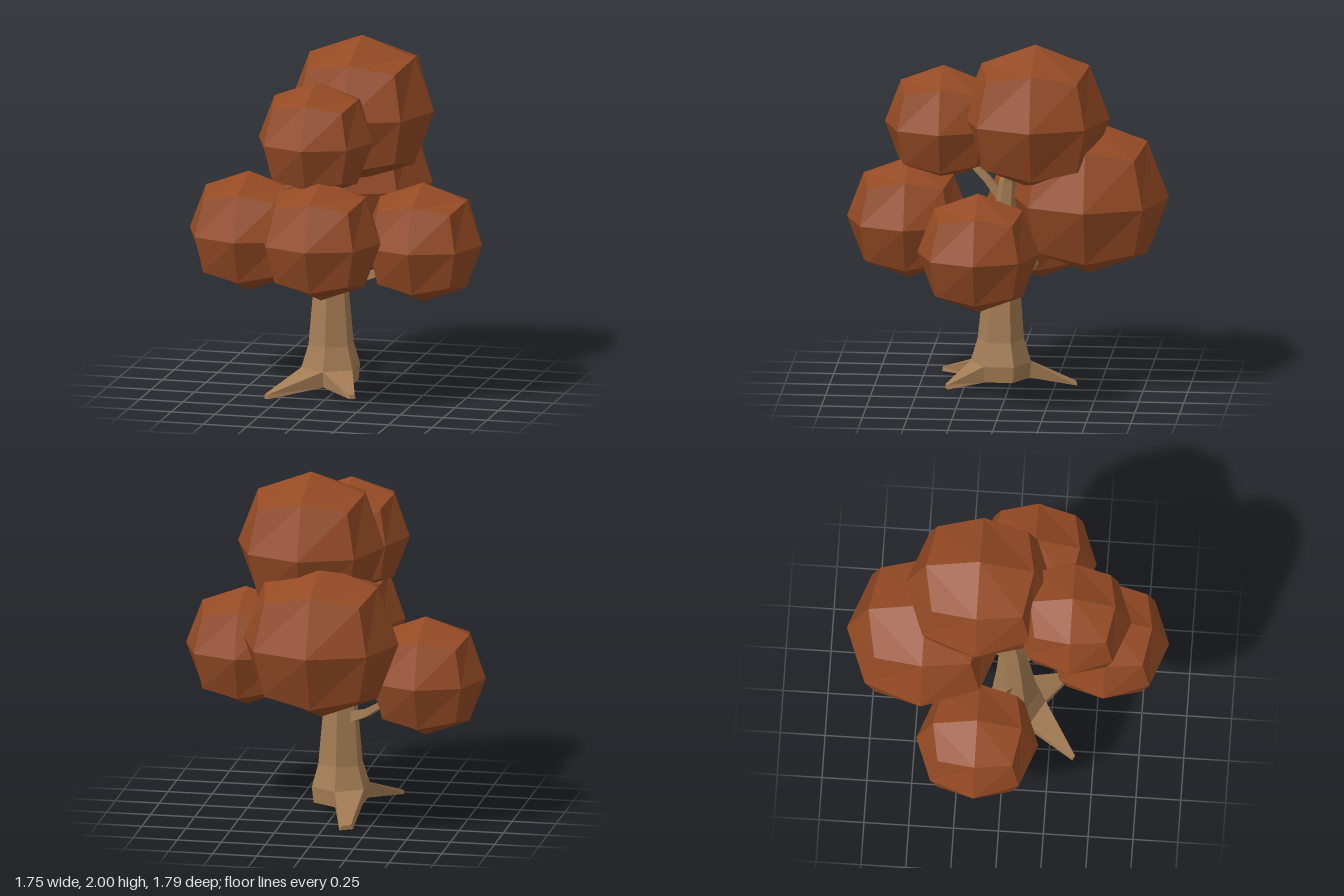
import * as THREE from 'three';

const V = (x, y, z) => new THREE.Vector3(x, y, z);

// Faceted skin over a list of cross-sections, closed at both ends
function loft(rings) {
  const pos = [];
  const tri = (...pts) => pts.forEach((p) => pos.push(p.x, p.y, p.z));
  const n = rings[0].length;
  for (let k = 0; k < rings.length - 1; k++) {
    const a = rings[k], b = rings[k + 1];
    for (let i = 0; i < n; i++) {
      const j = (i + 1) % n;
      tri(a[i], a[j], b[j]);
      tri(a[i], b[j], b[i]);
    }
  }
  const first = rings[0], last = rings[rings.length - 1];
  for (let i = 1; i < n - 1; i++) {
    tri(first[0], first[i + 1], first[i]);
    tri(last[0], last[i], last[i + 1]);
  }
  const geo = new THREE.BufferGeometry();
  geo.setAttribute('position', new THREE.Float32BufferAttribute(pos, 3));
  geo.computeVertexNormals();
  return geo;
}

// Level hexagon with one corner facing the front
function hexRing([x, y, z, r]) {
  return Array.from({ length: 6 }, (_, i) => {
    const a = (i * Math.PI) / 3;
    return V(x + r * Math.sin(a), y, z + r * Math.cos(a));
  });
}

// Tapered square limb along a path of [x, y, z, radius]
function limb(path) {
  const pts = path.map((p) => V(p[0], p[1], p[2]));
  return loft(pts.map((p, k) => {
    const d = pts[Math.min(k + 1, pts.length - 1)].clone().sub(pts[Math.max(k - 1, 0)]).normalize();
    const u = V(0, 1, 0).cross(d).normalize();
    const v = d.clone().cross(u);
    return Array.from({ length: 4 }, (_, i) => {
      const a = Math.PI / 4 + (i * Math.PI) / 2;
      return p.clone().addScaledVector(u, path[k][3] * Math.cos(a)).addScaledVector(v, path[k][3] * Math.sin(a));
    });
  }));
}

// Cube with each side cut in four, puffed out into a faceted ball
function puff(r) {
  const geo = new THREE.BoxGeometry(2, 2, 2, 2, 2, 2).toNonIndexed();
  const p = geo.attributes.position;
  const reach = [0, 1, 0.727, 0.61];
  for (let i = 0; i < p.count; i++) {
    const c = [p.getX(i), p.getY(i), p.getZ(i)].map(Math.round);
    const s = r * reach[c.filter((t) => t !== 0).length];
    p.setXYZ(i, c[0] * s, c[1] * s, c[2] * s);
  }
  geo.computeVertexNormals();
  return geo;
}

export function createModel() {
  const tree = new THREE.Group();
  tree.name = 'tree';
  const bark = new THREE.MeshStandardMaterial({ color: 0xa37c54 });
  bark.name = 'bark';
  const leaves = new THREE.MeshStandardMaterial({ color: 0x944a24 });
  leaves.name = 'russetLeaves';
  const add = (name, geo, mat) => {
    const mesh = new THREE.Mesh(geo, mat);
    mesh.name = name;
    tree.add(mesh);
    return mesh;
  };

  // Trunk: flared foot, bending back towards the crown
  const rings = [
    [-0.02, 0.06, 0.045, 0.16],
    [-0.02, 0.15, 0.045, 0.17],
    [-0.018, 0.28, 0.045, 0.13],
    [-0.02, 0.64, 0.04, 0.098],
    [-0.01, 0.9, 0.03, 0.075],
    [0.02, 1.2, 0.0, 0.05],
    [0.08, 1.42, -0.1, 0.03],
  ].map(hexRing);
  add('trunk', loft(rings), bark);

  // Roots: drawn out from three sides of the foot
  const roots = [
    ['rootLeft', 0, V(0.18, 0.045, 0.33), 0.02],
    ['rootRight', 5, V(-0.3, 0.03, 0.39), 0.015],
    ['rootBack', 3, V(-0.13, 0.01, -0.355), 0.04],
  ];
  for (const [name, i, tip, w] of roots) {
    const j = (i + 1) % 6;
    const [foot, top] = rings;
    const side = foot[j].clone().sub(foot[i]).setLength(w);
    const corner = (s, y) => tip.clone().addScaledVector(side, s).add(V(0, y, 0));
    add(name, loft([
      [foot[i], foot[j], top[j], top[i]],
      [corner(-1, -0.01), corner(1, -0.01), corner(0.7, 0.015), corner(-0.7, 0.015)],
    ]), bark);
  }

  // Branches: one reaching into each lower cluster
  const branches = [
    ['branchRight', [[-0.06, 0.54, 0.03, 0.045], [-0.19, 0.6, -0.06, 0.03], [-0.3, 0.68, -0.14, 0.022]]],
    ['branchLeft', [[0.02, 0.61, 0.05, 0.045], [0.16, 0.67, 0.08, 0.035], [0.32, 0.73, 0.1, 0.025]]],
    ['branchFront', [[0.0, 0.77, 0.06, 0.04], [0.02, 0.84, 0.18, 0.03], [0.04, 0.88, 0.32, 0.022]]],
    ['branchUpperFront', [[0.0, 1.08, 0.03, 0.035], [0.0, 1.2, 0.12, 0.028], [-0.01, 1.34, 0.26, 0.02]]],
    ['branchBack', [[0.0, 0.84, 0.02, 0.04], [0.0, 0.93, -0.1, 0.03], [0.0, 1.0, -0.25, 0.022]]],
  ];
  for (const [name, path] of branches) add(name, limb(path), bark);

  // Leaf clusters: [name, x, y, z, radius]
  const clusters = [
    ['leavesTop', 0.106, 1.585, -0.16, 0.415],
    ['leavesUpperFront', -0.02, 1.513, 0.365, 0.328],
    ['leavesLowerFront', 0.058, 0.985, 0.553, 0.345],
    ['leavesLeft', 0.532, 0.905, 0.122, 0.34],
    ['leavesRight', -0.538, 0.852, -0.132, 0.34],
    ['leavesBack', -0.007, 1.112, -0.455, 0.44],
  ];
  for (const [name, x, y, z, r] of clusters) add(name, puff(r), leaves).position.set(x, y, z);

  return tree;
}
